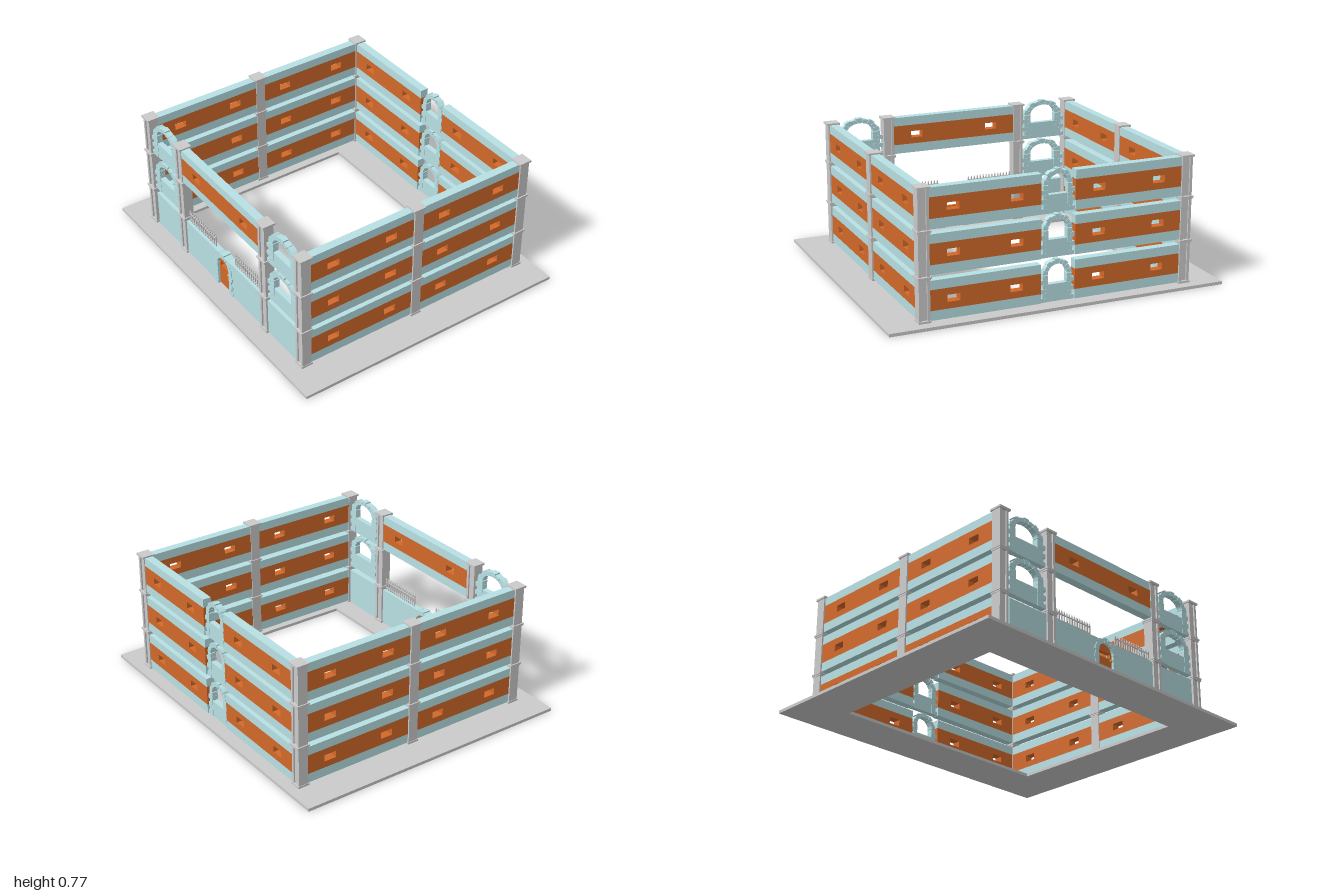
import * as THREE from 'three';

const mat = (color) => new THREE.MeshStandardMaterial({ color, flatShading: true });
const grey = mat(0xcccccc), blue = mat(0xb8e0e4), orange = mat(0xd2692a), brass = mat(0xc9a227);
const FLOORS = [0.025, 0.28, 0.533];

function mesh(parent, name, geo, material, x = 0, y = 0, z = 0) {
  const m = new THREE.Mesh(geo, material);
  m.name = name;
  m.position.set(x, y, z);
  parent.add(m);
  return m;
}
const box = (parent, name, material, w, h, d, x, y, z) =>
  mesh(parent, name, new THREE.BoxGeometry(w, h, d), material, x, y, z);

// rectangle path, counter-clockwise, from centre and size
const rect = (P, x, y, w, h) => {
  const p = new P();
  p.moveTo(x - w / 2, y - h / 2);
  p.lineTo(x + w / 2, y - h / 2);
  p.lineTo(x + w / 2, y + h / 2);
  p.lineTo(x - w / 2, y + h / 2);
  p.closePath();
  return p;
};
// round-headed outline: straight sides up to spring, then a half circle
const archPath = (P, r, bottom, spring) => {
  const p = new P();
  p.moveTo(-r, bottom);
  p.lineTo(r, bottom);
  p.lineTo(r, spring);
  p.absarc(0, spring, r, 0, Math.PI, false);
  p.closePath();
  return p;
};
const extrude = (shape, depth) =>
  new THREE.ExtrudeGeometry(shape, { depth, bevelEnabled: false, curveSegments: 16 }).translate(0, 0, -depth / 2);

// group whose local x runs along the wall
function placed(parent, name, x, y, z, side) {
  const g = new THREE.Group();
  g.name = name;
  g.position.set(x, y, z);
  if (side) g.rotation.y = Math.PI / 2;
  parent.add(g);
  return g;
}

// striped wall panel with two window slots
function wallPanel(parent, length, offset, x, y, z, side) {
  const g = placed(parent, 'wallPanel', x, y, z, side);
  box(g, 'lowerBand', blue, length, 0.055, 0.05, 0, 0.0275, 0);
  box(g, 'upperBand', blue, length, 0.052, 0.05, 0, 0.198, 0);
  const stripe = rect(THREE.Shape, 0, 0.1135, length, 0.117);
  for (const s of [-1, 1]) stripe.holes.push(rect(THREE.Path, s * offset, 0.113, 0.074, 0.04));
  mesh(g, 'windowStripe', extrude(stripe, 0.05), orange);
}

// ring of wedge stones, every second one a little taller
function stoneArch(parent, spring, inner, outer, depth) {
  const count = 9;
  for (let i = 0; i < count; i++) {
    const a = (i * Math.PI) / count + 0.012, b = ((i + 1) * Math.PI) / count - 0.012;
    const r = i % 2 ? outer - 0.006 : outer;
    const s = new THREE.Shape();
    s.absarc(0, 0, r, a, b, false);
    s.absarc(0, 0, inner, b, a, true);
    s.closePath();
    const geo = new THREE.ExtrudeGeometry(s, { depth, bevelEnabled: false, curveSegments: 3 });
    mesh(parent, 'archStone', geo.translate(0, 0, -depth / 2), blue, 0, spring, 0);
  }
}

// parapet, jamb stones and arch filling a bay between panels
function archBay(parent, x, y, z, stretch) {
  const g = placed(parent, 'archBay', x, y, z, true);
  g.scale.x = stretch;
  box(g, 'parapet', blue, 0.17, 0.1, 0.032, 0, 0.05, 0);
  for (const s of [-1, 1]) {
    for (let i = 0; i < 6; i++) {
      const w = i % 2 ? 0.03 : 0.043;
      box(g, 'jambStone', blue, w, 0.0248, 0.036, s * (0.057 + w / 2), 0.0125 + i * 0.0255, 0);
    }
  }
  stoneArch(g, 0.155, 0.058, 0.087, 0.036);
}

// stacked I-section column with a plate at each storey
function pillar(parent, x, z) {
  const g = placed(parent, 'pillar', x, 0, z, false);
  box(g, 'web', grey, 0.042, 0.74, 0.05, 0, 0.388, 0);
  for (const s of [-1, 1]) box(g, 'flange', grey, 0.06, 0.74, 0.016, 0, 0.388, s * 0.024);
  for (const y of [0.024, 0.262, 0.516]) {
    box(g, 'storeyPlate', grey, 0.07, 0.012, 0.07, 0, y, 0);
    if (y > 0.1) box(g, 'storeyCollar', grey, 0.078, 0.01, 0.078, 0, y + 0.008, 0);
  }
  box(g, 'cap', grey, 0.078, 0.012, 0.078, 0, 0.76, 0);
}

// plain gate wall with arched door
function gateWall(parent, x) {
  const g = placed(parent, 'gateWall', x, 0, 0, true);
  const wall = new THREE.Shape();
  wall.moveTo(-0.74, 0.018);
  wall.lineTo(-0.06, 0.018);
  wall.lineTo(-0.06, 0.175);
  wall.absarc(0, 0.175, 0.06, Math.PI, 0, true);
  wall.lineTo(0.06, 0.018);
  wall.lineTo(0.74, 0.018);
  wall.lineTo(0.74, 0.25);
  wall.lineTo(-0.74, 0.25);
  wall.closePath();
  mesh(g, 'plainWall', extrude(wall, 0.04), blue);
  stoneArch(g, 0.175, 0.058, 0.09, 0.052);
  for (const s of [-1, 1]) {
    for (let i = 0; i < 6; i++) {
      const w = i % 2 ? 0.026 : 0.038;
      box(g, 'doorJambStone', blue, w, 0.025, 0.05, s * (0.058 + w / 2), 0.031 + i * 0.026, 0);
    }
    mesh(g, 'doorKnob', new THREE.SphereGeometry(0.009, 10, 8), brass, -0.045, 0.142, s * 0.018);
  }
  const door = archPath(THREE.Shape, 0.06, 0.018, 0.175);
  door.holes.push(rect(THREE.Path, 0, 0.17, 0.09, 0.03));
  mesh(g, 'door', extrude(door, 0.02), orange);

  // picket fence on top of the wall, open above the door
  for (const s of [-1, 1]) {
    for (const y of [0.265, 0.305]) box(g, 'fenceRail', grey, 0.29, 0.006, 0.006, s * 0.245, y, 0);
    for (let i = 0; i < 15; i++) {
      const px = s * (0.105 + i * 0.02);
      box(g, 'picket', grey, 0.007, 0.07, 0.007, px, 0.284, 0);
      mesh(g, 'picketTip', new THREE.ConeGeometry(0.006, 0.014, 4), grey, px, 0.326, 0);
    }
  }
}

export function createModel() {
  const root = new THREE.Group();
  root.name = 'courtyardBuilding';

  // paved ring around the open court
  const slab = rect(THREE.Shape, 0, 0, 1.71, 2);
  slab.holes.push(rect(THREE.Path, 0, 0, 1.147, 1.435));
  const base = new THREE.ExtrudeGeometry(slab, { depth: 0.018, bevelEnabled: false });
  mesh(root, 'basePaving', base.rotateX(-Math.PI / 2), grey);

  for (const z of [-0.787, 0.777]) {
    for (const x of [-0.72, 0.02, 0.76]) pillar(root, x, z);
  }
  for (const z of [-0.433, 0.427]) pillar(root, -0.72, z);

  FLOORS.forEach((y, i) => {
    // front and back
    for (const z of [-0.785, 0.775]) {
      wallPanel(root, 0.69, 0.19, -0.35, y, z, false);
      wallPanel(root, 0.69, 0.19, 0.39, y, z, false);
    }
    // left side with central arch
    for (const s of [-1, 1]) wallPanel(root, 0.65, 0.183, 0.76, y, s * 0.427, true);
    archBay(root, 0.76, y, 0, 1);
    // right side end bays
    if (i > 0) for (const s of [-1, 1]) archBay(root, -0.72, y, s * 0.608, 1.45);
  });

  // right side: gate below, open gallery, panel at the top
  gateWall(root, -0.72);
  wallPanel(root, 0.82, 0.245, -0.72, FLOORS[2], 0, true);
  return root;
}
